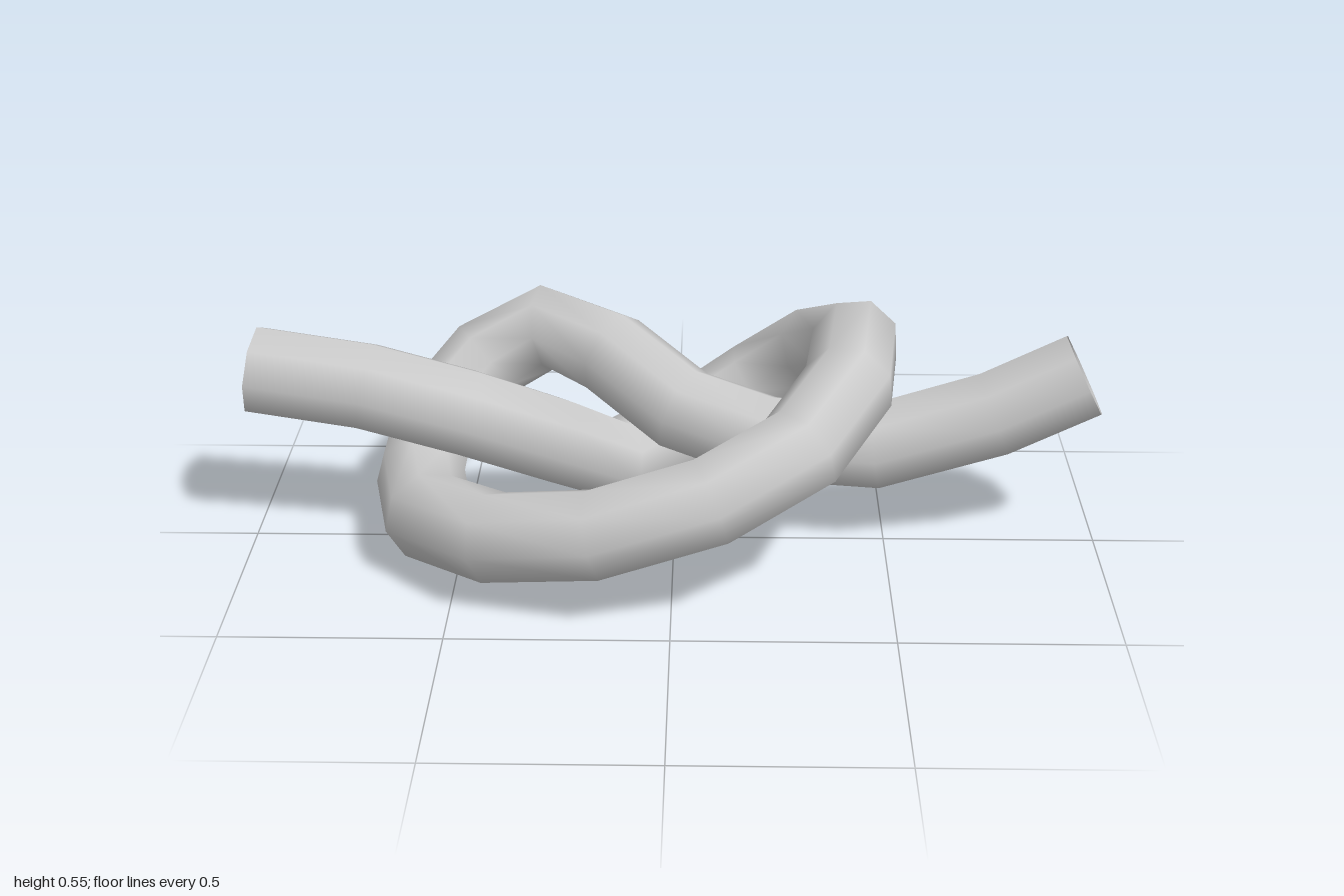
import * as THREE from 'three';

// Curve whose samples fall exactly on its control points, one tube ring each
class RopeCurve extends THREE.CatmullRomCurve3 {
  getPointAt(u, target) { return this.getPoint(u, target); }
  getTangentAt(u, target) { return this.getTangent(u, target); }
}

export function createModel() {
  const group = new THREE.Group();
  group.name = 'overhandKnot';

  // Centre line of the rope, from its right end to its left end
  const path = [
    [-0.985, 0.415, -0.045], [-0.72, 0.385, -0.02], [-0.49, 0.325, -0.01],
    // under the crossing and up round the right lobe
    [-0.29, 0.21, -0.11], [-0.14, 0.108, -0.21], [0.04, 0.145, -0.345],
    [0.2, 0.235, -0.405], [0.345, 0.365, -0.32], [0.425, 0.455, -0.135],
    // front loop
    [0.4, 0.44, 0.085], [0.285, 0.37, 0.285], [0.085, 0.29, 0.385],
    [-0.165, 0.215, 0.4], [-0.4, 0.165, 0.32], [-0.565, 0.14, 0.165],
    // left lobe, then over the crossing
    [-0.61, 0.13, -0.07], [-0.595, 0.19, -0.255], [-0.475, 0.305, -0.375],
    [-0.32, 0.39, -0.385], [-0.155, 0.365, -0.275], [0.02, 0.285, -0.125],
    [0.22, 0.24, -0.06], [0.475, 0.24, -0.022], [0.75, 0.325, -0.022], [0.953, 0.425, -0.022],
  ].map((p) => new THREE.Vector3(...p));

  // Open-ended eight-sided rope
  const rope = new THREE.Mesh(
    new THREE.TubeGeometry(new RopeCurve(path), path.length - 1, 0.107, 8, false),
    new THREE.MeshStandardMaterial({ color: 0xcccccc, side: THREE.DoubleSide }),
  );
  rope.name = 'knottedRope';
  group.add(rope);
  return group;
}
